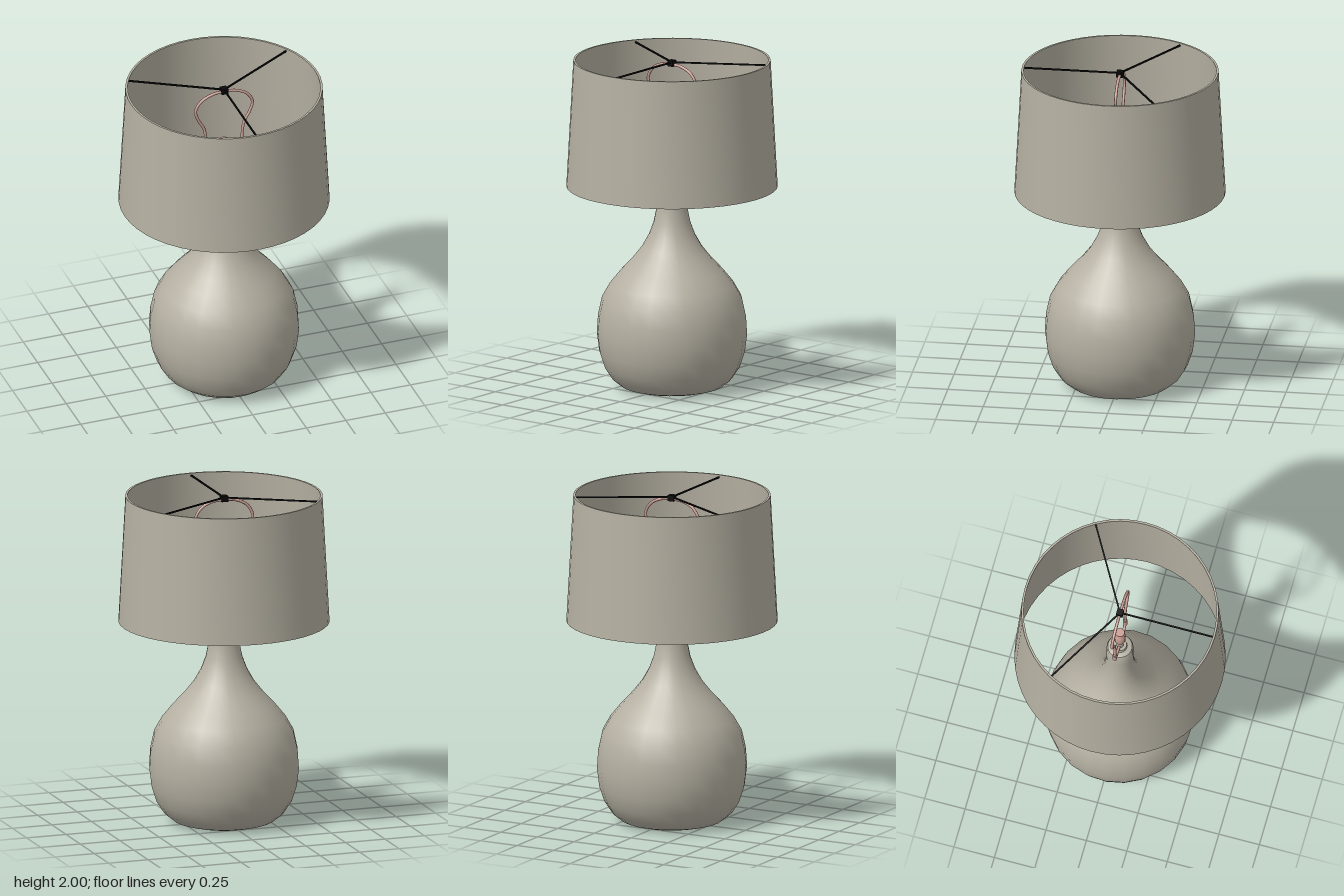
import * as THREE from 'three';
import { toCreasedNormals } from 'three/addons/utils/BufferGeometryUtils.js';

const material = (name, color) => {
  const m = new THREE.MeshStandardMaterial({ color });
  m.name = name;
  return m;
};

export function createModel() {
  const lamp = new THREE.Group();
  lamp.name = 'tableLamp';
  const ceramic = material('warmGrey', 0xb5b0a2);
  const copper = material('dustyPink', 0xcb9f95);
  const black = material('black', 0x0a0a0a);

  const add = (name, geometry, mat, x = 0, y = 0, z = 0, parent = lamp) => {
    const mesh = new THREE.Mesh(geometry, mat);
    mesh.name = name;
    mesh.position.set(x, y, z);
    parent.add(mesh);
    return mesh;
  };
  const lathe = (points, segments, crease) => toCreasedNormals(
    new THREE.LatheGeometry(points.map(([r, y]) => new THREE.Vector2(r, y)), segments), crease);

  // Gourd-shaped base with a shallow recess underneath
  const base = add('base', lathe([
    [0, 0.025], [0.12, 0.018], [0.2, 0.004], [0.25, 0], [0.305, 0.016], [0.36, 0.06],
    [0.405, 0.13], [0.435, 0.22], [0.449, 0.33], [0.442, 0.44], [0.418, 0.55],
    [0.37, 0.635], [0.305, 0.715], [0.235, 0.79], [0.18, 0.86], [0.138, 0.935],
    [0.11, 1.01], [0.094, 1.09], [0.083, 1.18], [0.08, 1.28], [0.08, 1.385],
    [0.073, 1.405], [0.06, 1.41], [0, 1.41],
  ], 24, 0.75), ceramic);
  base.rotation.y = 0.07;

  // Stem and lamp socket
  add('collar', new THREE.CylinderGeometry(0.04, 0.044, 0.025, 20), ceramic, 0, 1.42);
  add('stem', new THREE.CylinderGeometry(0.022, 0.022, 0.1, 16), ceramic, 0, 1.46);
  add('socket', lathe([
    [0, 1.49], [0.022, 1.49], [0.032, 1.515], [0.032, 1.6], [0.027, 1.61], [0.027, 1.64], [0, 1.64],
  ], 20, 0.6), copper);

  // Wire harp: one half is mirrored to make the closed loop
  const half = [[0.075, 1.965], [0.145, 1.93], [0.18, 1.87], [0.163, 1.805], [0.128, 1.74],
    [0.115, 1.66], [0.115, 1.56], [0.113, 1.49], [0.095, 1.466], [0.04, 1.45]];
  const loop = [
    [0, 1.972], ...half, [0, 1.447],
    ...half.slice().reverse().map(([x, y]) => [-x, y]),
  ].map(([x, y]) => new THREE.Vector3(x, y, 0));
  add('harp', new THREE.TubeGeometry(new THREE.CatmullRomCurve3(loop, true), 120, 0.009, 8, true), copper);
  for (const side of [-1, 1]) {
    add('harpFerrule', new THREE.CylinderGeometry(0.014, 0.014, 0.06, 12), copper, side * 0.115, 1.52);
  }

  // Tapered drum shade, hollow with thin walls
  add('shade', lathe([
    [0.618, 1.23], [0.63, 1.23], [0.588, 2], [0.575, 2], [0.618, 1.23],
  ], 48, 0.6), ceramic);

  // Three-armed shade holder with a square hub
  const spider = new THREE.Group();
  spider.name = 'shadeHolder';
  lamp.add(spider);
  add('hub', new THREE.BoxGeometry(0.04, 0.036, 0.04), black, 0, 1.98, 0, spider);
  for (let i = 0; i < 3; i++) {
    const arm = new THREE.BoxGeometry(0.009, 0.009, 0.576);
    arm.translate(0, 0, 0.288);
    add('holderArm', arm, black, 0, 1.985, 0, spider).rotation.y = i * Math.PI * 2 / 3;
  }
  return lamp;
}
